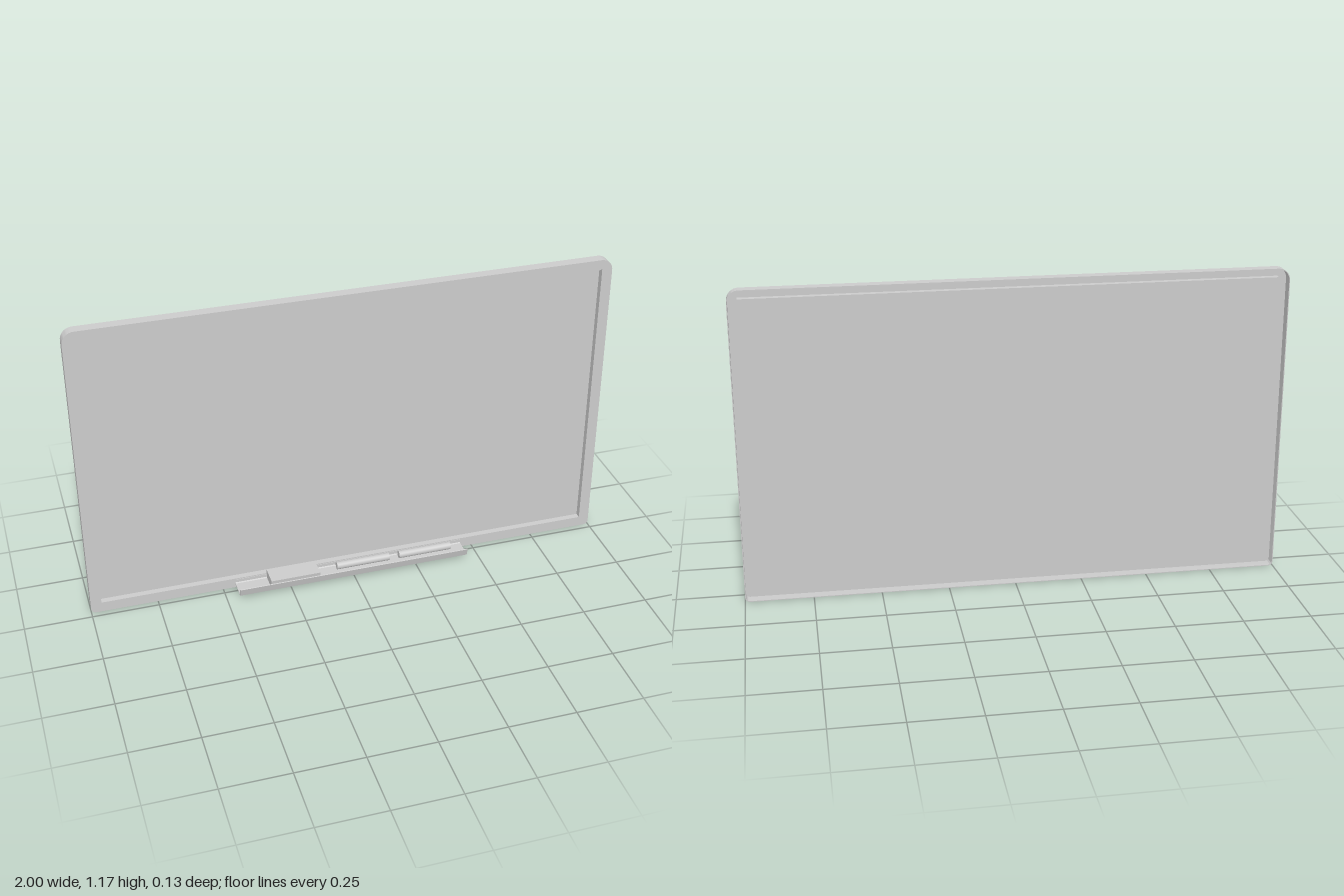
import * as THREE from 'three';
import { toCreasedNormals } from 'three/addons/utils/BufferGeometryUtils.js';

const W = 1, H = 1.17, FRONT = -0.023, BACK = -0.063, SHEET = 0.003;
const material = new THREE.MeshStandardMaterial({ color: 0xcccccc, side: THREE.DoubleSide });

// Upright rectangle with separate top and bottom corner radii
function outline(Type, hw, y0, y1, rTop = 0, rBottom = 0) {
  const p = new Type();
  p.moveTo(-hw + rBottom, y0);
  p.lineTo(hw - rBottom, y0);
  if (rBottom) p.absarc(hw - rBottom, y0 + rBottom, rBottom, -Math.PI / 2, 0);
  p.lineTo(hw, y1 - rTop);
  if (rTop) p.absarc(hw - rTop, y1 - rTop, rTop, 0, Math.PI / 2);
  p.lineTo(-hw + rTop, y1);
  if (rTop) p.absarc(-hw + rTop, y1 - rTop, rTop, Math.PI / 2, Math.PI);
  p.lineTo(-hw, y0 + rBottom);
  if (rBottom) p.absarc(-hw + rBottom, y0 + rBottom, rBottom, Math.PI, Math.PI * 1.5);
  p.closePath();
  return p;
}

// Rectangular ring between two outlines, from z0 forward to z1
function ring(outer, inner, z0, z1) {
  const shape = outline(THREE.Shape, ...outer);
  shape.holes.push(outline(THREE.Path, ...inner));
  const g = new THREE.ExtrudeGeometry(shape, { depth: z1 - z0, bevelEnabled: false, curveSegments: 8 });
  return toCreasedNormals(g.translate(0, 0, z0), 0.6);
}

// Side profile of [z, y] points, swept along x and centred on cx
function sweep(points, length, cx = 0) {
  const shape = new THREE.Shape(points.map(([z, y]) => new THREE.Vector2(z, y)));
  const g = new THREE.ExtrudeGeometry(shape, { depth: length, bevelEnabled: false });
  return g.translate(0, 0, -length / 2).rotateY(-Math.PI / 2).translate(cx, 0, 0);
}

export function createModel() {
  const model = new THREE.Group();
  model.name = 'whiteboard';
  const add = (name, geometry) => {
    const mesh = new THREE.Mesh(geometry, material);
    mesh.name = name;
    model.add(mesh);
    return mesh;
  };

  // Hollow frame, open at the back: front face, outer wall, inner wall
  const outer = [W, 0, H, 0.045, 0.018];
  const outerInside = [W - SHEET, SHEET, H - SHEET, 0.042, 0.015];
  const opening = [0.96, 0.04, 1.132];
  const openingOutside = [0.96 + SHEET, 0.04 - SHEET, 1.132 + SHEET];
  const wallEnd = -0.049;
  add('frameFace', ring(outer, opening, FRONT - SHEET, FRONT));
  add('frameOuterWall', ring(outer, outerInside, BACK, FRONT - SHEET));
  add('frameInnerWall', ring(openingOutside, opening, wallEnd, FRONT - SHEET));

  // Writing surface, recessed in the opening
  const board = add('writingSurface', new THREE.BoxGeometry(1.92, 1.092, SHEET));
  board.position.set(0, 0.586, wallEnd + SHEET / 2);

  // Tray with an outward-leaning front lip
  add('tray', sweep([
    [-0.028, 0.016], [0.055, 0.016], [0.063, 0.046], [0.059, 0.047],
    [0.052, 0.02], [-0.018, 0.02], [-0.021, 0.024], [-0.021, 0.036], [-0.028, 0.036],
  ], 0.905));

  // Eraser resting in the tray
  add('eraser', sweep([[-0.0215, 0.0205], [0.051, 0.0205], [0.056, 0.057], [-0.0215, 0.057]], 0.19, -0.235));

  // Two markers lying in the tray
  for (const x of [0.045, 0.295]) {
    const marker = add('marker', new THREE.CylinderGeometry(0.0145, 0.0145, 0.21, 24).rotateZ(Math.PI / 2));
    marker.position.set(x, 0.035, 0.003);
  }
  return model;
}
